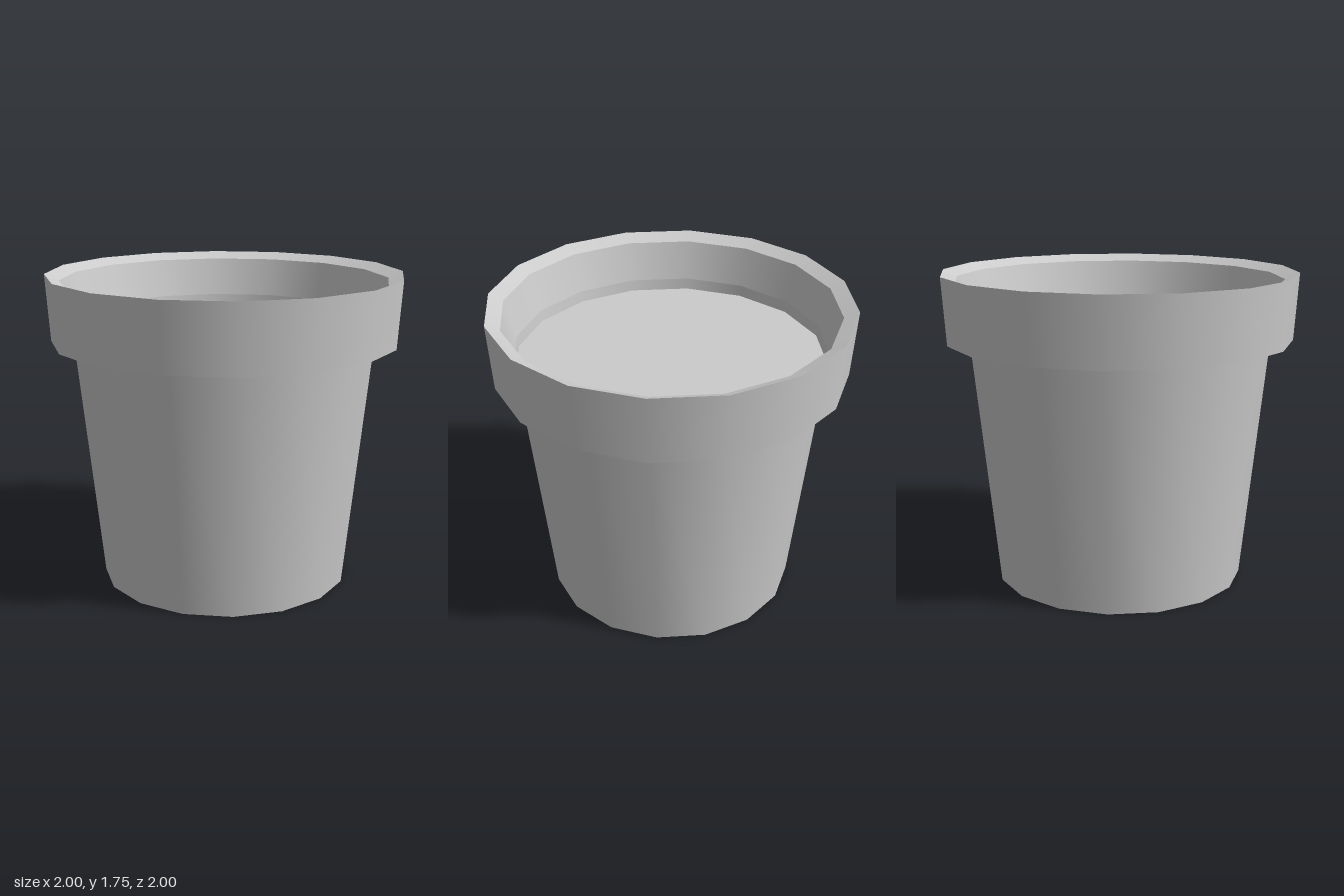
import * as THREE from 'three';
import { mergeGeometries } from 'three/addons/utils/BufferGeometryUtils.js';

const SIDES = 16;

// Revolve each profile segment separately: smooth around, sharp between bands.
// Profiles run counterclockwise (up the outside, down the inside).
function bands(profile) {
  const parts = [];
  for (let i = 0; i < profile.length - 1; i++) {
    const pts = [profile[i], profile[i + 1]].map(([r, y]) => new THREE.Vector2(r, y));
    parts.push(new THREE.LatheGeometry(pts, SIDES));
  }
  return mergeGeometries(parts);
}

function disc(radius, y, up) {
  const g = new THREE.CircleGeometry(radius, SIDES);
  g.rotateX(up ? -Math.PI / 2 : Math.PI / 2);
  return g.translate(0, y, 0);
}

export function createModel() {
  const group = new THREE.Group();
  group.name = 'flowerPot';
  const material = new THREE.MeshStandardMaterial({ color: 0xcccccc });
  const add = (name, geometry, mat = material) => {
    const mesh = new THREE.Mesh(geometry, mat);
    mesh.name = name;
    group.add(mesh);
  };

  // Tapered thin wall, seen from outside and just above the soil
  const wallMaterial = material.clone();
  wallMaterial.side = THREE.DoubleSide;
  add('potWall', bands([[0.707, 0], [0.862, 1.5]]), wallMaterial);
  add('potBase', disc(0.707, 0, false));

  // Overhanging collar: underside, outer wall, inward-sloping lip, inner funnel
  add('rim', bands([
    [0.862, 1.5], [0.912, 1.38], [0.975, 1.38], [1, 1.755], [0.92, 1.718], [0.862, 1.5],
  ]));

  // Soil surface just below the wall's top edge
  add('soil', disc(0.856, 1.436, true));

  return group;
}
